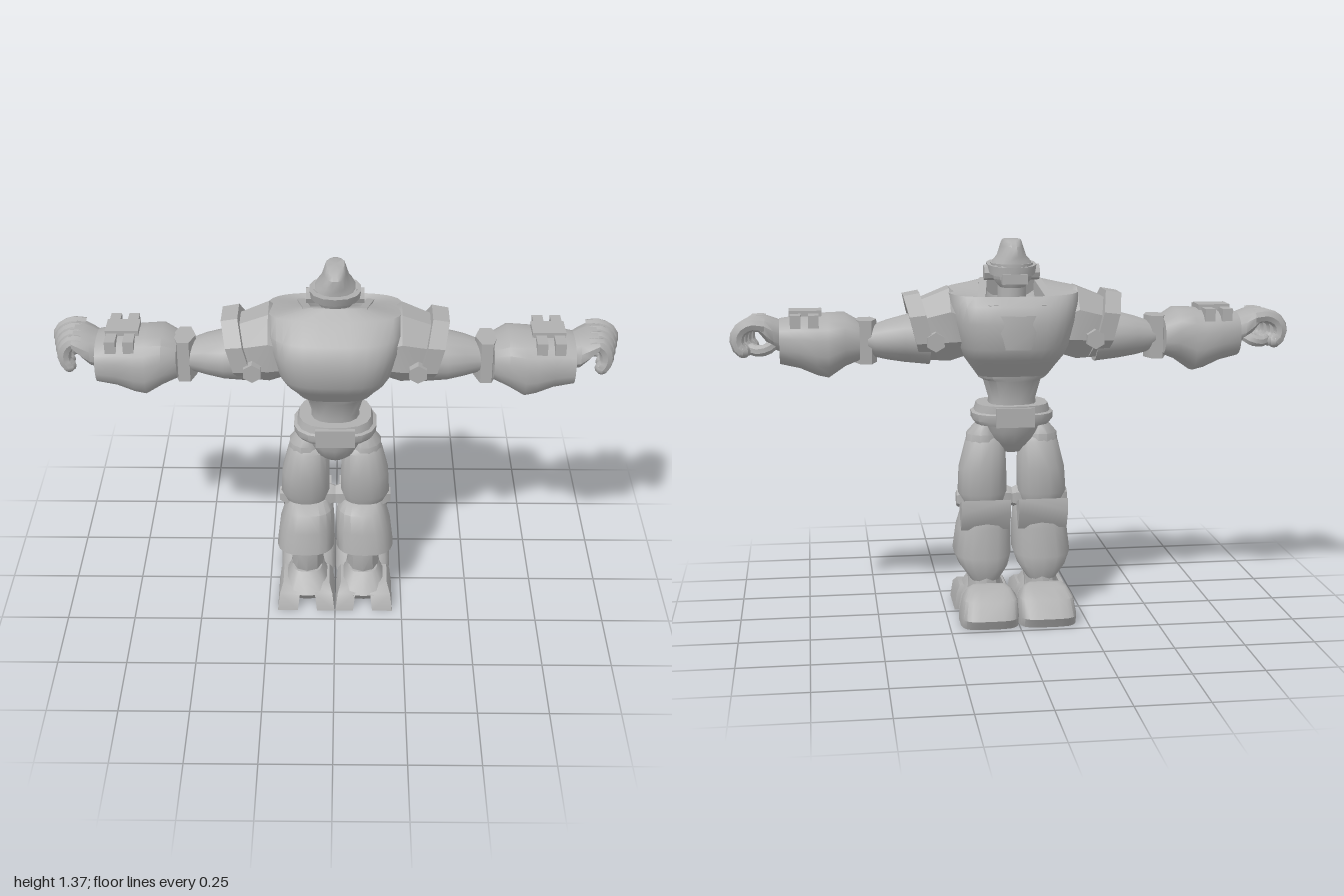
import * as THREE from 'three';
import { toCreasedNormals, mergeGeometries } from 'three/addons/utils/BufferGeometryUtils.js';

const grey = new THREE.MeshStandardMaterial({ color: 0xb0b0b0 });
grey.name = 'plainGrey';

// Skin over rounded-polygon rings stacked along y or x.
// y axis: [y, x0, x1, z0, z1, tilt]   x axis: [x, z0, z1, y0, y1, tilt]
function loft(axis, n, e, rings) {
  const pos = [];
  const grow = e === 1 ? 1 / Math.cos(Math.PI / n) : 1;
  const put = (t, u, v) => (axis === 'y' ? [u, t, v] : [t, v, u]);
  const pts = rings.map(([t, u0, u1, v0, v1, tilt = 0]) => {
    const ring = [];
    for (let i = 0; i < n; i++) {
      const a = ((i + 0.5) / n) * Math.PI * 2;
      const c = Math.cos(a) * grow, s = Math.sin(a) * grow;
      const u = (u0 + u1) / 2 + ((u1 - u0) / 2) * Math.sign(c) * Math.abs(c) ** e;
      const v = (v0 + v1) / 2 + ((v1 - v0) / 2) * Math.sign(s) * Math.abs(s) ** e;
      ring.push(put(t + tilt * (v - (axis === 'y' ? 0 : 1.05)), u, v));
    }
    return ring;
  });
  const mid = (ring) => [0, 1, 2].map((k) => ring.reduce((sum, p) => sum + p[k], 0) / n);
  const first = pts[0], last = pts[pts.length - 1];
  for (let i = 0; i < n; i++) {
    const j = (i + 1) % n;
    for (let r = 0; r < pts.length - 1; r++) {
      const a = pts[r], b = pts[r + 1];
      pos.push(...a[i], ...b[i], ...a[j], ...a[j], ...b[i], ...b[j]);
    }
    pos.push(...mid(first), ...first[i], ...first[j]);
    pos.push(...mid(last), ...last[j], ...last[i]);
  }
  const g = new THREE.BufferGeometry();
  g.setAttribute('position', new THREE.Float32BufferAttribute(pos, 3));
  return g;
}

// Ring symmetric about x = 0
const sym = (y, hx, z0, z1, tilt) => [y, -hx, hx, z0, z1, tilt];

function bare(geo) {
  const g = geo.index ? geo.toNonIndexed() : geo.clone();
  for (const k of ['uv', 'normal']) g.deleteAttribute(k);
  return g;
}

// Mirror in x and restore the corner order
function mirrored(geo) {
  const g = bare(geo).scale(-1, 1, 1), p = g.attributes.position;
  for (let i = 0; i < p.count; i += 3) {
    const b = [p.getX(i + 1), p.getY(i + 1), p.getZ(i + 1)];
    p.setXYZ(i + 1, p.getX(i + 2), p.getY(i + 2), p.getZ(i + 2));
    p.setXYZ(i + 2, ...b);
  }
  return g;
}

const box = (w, h, d, x, y, z) => new THREE.BoxGeometry(w, h, d).translate(x, y, z);

export function createModel() {
  const model = new THREE.Group();
  const add = (name, geo) => {
    const mesh = new THREE.Mesh(toCreasedNormals(bare(geo), 0.72), grey);
    mesh.name = name;
    model.add(mesh);
  };
  const pair = (name, geo) => {
    add(name + 'Left', geo);
    add(name + 'Right', mirrored(geo));
  };

  // Torso with a sunken neck well
  add('torso', loft('y', 32, 0.62, [
    sym(0.89, 0.13, -0.07, 0.14), sym(0.925, 0.155, -0.1, 0.17), sym(0.96, 0.18, -0.14, 0.208),
    sym(1.0, 0.2, -0.163, 0.235), sym(1.09, 0.225, -0.168, 0.24),
    sym(1.15, 0.235, -0.155, 0.215), sym(1.195, 0.235, -0.12, 0.14, 0.1),
    sym(1.2, 0.12, -0.1, 0.1, 0.38), sym(1.12, 0.1, -0.11, 0.08, 0.38),
  ]));
  const outline = [[-0.14, -0.12], [-0.1, -0.155], [0.1, -0.155], [0.14, -0.12], [0.11, 0.09], [-0.11, 0.09]];
  const hex = (k) => outline.map(([x, z]) => new THREE.Vector2(x * k, (z + 0.035) * k - 0.035));
  const collar = new THREE.Shape(hex(1));
  collar.holes.push(new THREE.Path(hex(0.78)));
  add('collar', new THREE.ExtrudeGeometry(collar, { depth: 0.06, bevelEnabled: false })
    .rotateX(Math.PI / 2 - 0.32).translate(0, 1.205, 0));
  add('chestPlate', loft('y', 8, 0.8, [
    sym(1.0, 0.08, -0.168, -0.1), sym(1.06, 0.1, -0.173, -0.1), sym(1.12, 0.1, -0.168, -0.1),
  ]));
  add('waist', loft('y', 16, 0.8, [
    sym(0.76, 0.09, -0.05, 0.11), sym(0.8, 0.085, -0.05, 0.11), sym(0.87, 0.105, -0.065, 0.13),
    sym(0.88, 0.125, -0.07, 0.135), sym(0.915, 0.14, -0.075, 0.145),
  ]));

  // Head
  add('neck', loft('y', 12, 1, [sym(1.1, 0.05, -0.02, 0.08), sym(1.23, 0.05, -0.02, 0.08)]));
  add('face', loft('y', 12, 1, [
    sym(1.205, 0.045, -0.045, 0.08), sym(1.235, 0.068, -0.06, 0.1), sym(1.29, 0.075, -0.06, 0.12),
  ]));
  add('helmet', loft('y', 16, 0.9, [
    sym(1.27, 0.08, -0.06, 0.12), sym(1.3, 0.066, -0.055, 0.12), sym(1.315, 0.052, -0.055, 0.123),
    sym(1.35, 0.04, -0.05, 0.123), sym(1.365, 0.036, -0.035, 0.105), sym(1.373, 0.032, -0.015, 0.08),
  ]));
  add('browBand', loft('y', 14, 0.9, [
    sym(1.25, 0.085, -0.062, 0.135, 0.1), sym(1.283, 0.09, -0.065, 0.147, 0.08),
  ]));
  add('visor', box(0.09, 0.035, 0.03, 0, 1.238, -0.056));
  add('earDiscs', new THREE.CylinderGeometry(0.028, 0.028, 0.2, 8).rotateZ(Math.PI / 2).translate(0, 1.255, 0.035));

  // Shoulders and upper arms
  pair('shoulder', loft('x', 8, 1, [
    [0.18, -0.08, 0.15, 0.96, 1.17], [0.23, -0.09, 0.16, 0.945, 1.205], [0.33, -0.07, 0.14, 0.95, 1.165],
  ]));
  pair('shoulderFin', loft('x', 8, 1, [
    [0.3, -0.1, 0.165, 0.95, 1.19, 0.25], [0.36, -0.095, 0.16, 0.95, 1.18, 0.25],
    [0.36, -0.075, 0.14, 0.965, 1.155, 0.25], [0.33, -0.07, 0.135, 0.97, 1.15, 0.25],
  ]));
  pair('shoulderBolt', new THREE.CylinderGeometry(0.035, 0.035, 0.29, 6).rotateX(Math.PI / 2).translate(0.285, 1.025, 0.035));
  pair('upperArm', loft('x', 16, 1, [
    [0.3, -0.07, 0.13, 0.93, 1.12], [0.39, -0.068, 0.13, 0.94, 1.105],
    [0.45, -0.055, 0.11, 0.95, 1.09], [0.495, -0.037, 0.092, 0.96, 1.075], [0.52, -0.03, 0.085, 0.97, 1.065],
  ]));
  pair('elbow', new THREE.CylinderGeometry(0.04, 0.04, 0.155, 6).rotateY(Math.PI / 6).scale(1, 1, 1.7).translate(0.527, 1.017, 0.03));

  // Forearms with wrist gadgets
  pair('forearm', loft('x', 18, 0.8, [
    [0.55, -0.07, 0.13, 0.95, 1.09], [0.6, -0.09, 0.157, 0.93, 1.12], [0.66, -0.09, 0.158, 0.888, 1.12],
    [0.7, -0.09, 0.157, 0.898, 1.115], [0.76, -0.085, 0.152, 0.925, 1.11], [0.83, -0.065, 0.145, 0.94, 1.1],
  ]));
  for (const x of [0.71, 0.773]) pair('wristBar', box(0.037, 0.045, 0.21, x, 1.1, 0.03));
  pair('wristPlate', box(0.115, 0.02, 0.085, 0.738, 1.122, 0.03));

  // Hands: fingers curl down around an open grip, shorter towards the front
  pair('palm', loft('x', 12, 0.8, [
    [0.81, -0.04, 0.1, 0.98, 1.09], [0.85, -0.065, 0.115, 0.995, 1.105], [0.88, -0.075, 0.12, 1.03, 1.115],
    [0.91, -0.07, 0.115, 1.07, 1.115],
  ]));
  const finger = (points, r) => {
    const path = points.map(([x, y, z]) => new THREE.Vector3(x, y, z));
    const tube = new THREE.TubeGeometry(new THREE.CatmullRomCurve3(path), 8, r, 8, false);
    const end = path[path.length - 1];
    const tip = new THREE.SphereGeometry(r, 8, 6).translate(end.x, end.y, end.z);
    return mergeGeometries([bare(tube), bare(tip)]);
  };
  [-0.055, -0.01, 0.035, 0.08].forEach((z, i) => {
    const k = 1 - 0.12 * i;
    const curl = [[0, 1.088], [0.05, 1.092], [0.09, 1.065], [0.095, 1.022], [0.075, 1.0]];
    pair('finger', finger(curl.map(([x, y]) => [0.88 + x * k, y, z]), 0.025));
  });
  pair('thumb', finger([[0.85, 1.02, -0.02], [0.875, 1.003, -0.05], [0.905, 0.998, -0.045], [0.925, 1.003, -0.03]], 0.021));

  // Hips
  add('pelvis', loft('y', 14, 0.9, [
    sym(0.6, 0.035, 0, 0.075), sym(0.635, 0.07, -0.04, 0.12), sym(0.68, 0.095, -0.07, 0.142), sym(0.72, 0.11, -0.08, 0.15),
  ]));
  add('belt', loft('y', 16, 0.75, [
    sym(0.71, 0.135, -0.08, 0.145), sym(0.725, 0.148, -0.086, 0.155), sym(0.75, 0.15, -0.086, 0.155),
    sym(0.755, 0.138, -0.08, 0.148), sym(0.783, 0.13, -0.08, 0.143),
  ]));
  for (const z of [-0.08, 0.148]) add('buckle', box(0.14, 0.07, 0.016, 0, 0.743, z));

  // Legs
  pair('hip', loft('y', 12, 1, [
    [0.6, 0.04, 0.17, -0.03, 0.1], [0.67, 0.05, 0.165, -0.03, 0.1], [0.705, 0.07, 0.135, -0.01, 0.08],
  ]));
  pair('thigh', loft('y', 16, 0.85, [
    [0.42, 0.03, 0.185, -0.04, 0.1], [0.45, 0.02, 0.2, -0.05, 0.11], [0.54, 0.02, 0.195, -0.047, 0.122],
    [0.64, 0.025, 0.17, -0.035, 0.108], [0.66, 0.04, 0.155, -0.02, 0.09],
  ]));
  pair('kneeJoint', loft('x', 6, 1, [
    [0, 0.005, 0.065, 0.395, 0.455], [0.02, 0, 0.07, 0.387, 0.463], [0.18, 0, 0.07, 0.387, 0.463], [0.205, 0.012, 0.058, 0.4, 0.45],
  ]));
  const guard = new THREE.Shape([[-0.03, 0.4], [0.04, 0.32], [0.075, 0.39], [0.066, 0.437]].map(([a, b]) => new THREE.Vector2(a, b)));
  pair('kneeGuard', new THREE.ExtrudeGeometry(guard, { depth: 0.18, bevelEnabled: false }).rotateY(Math.PI / 2).translate(0.015, 0, 0));
  pair('shin', loft('y', 18, 0.75, [
    [0.135, 0.05, 0.16, -0.05, 0.05, 0.2], [0.185, 0.015, 0.2, -0.068, 0.125, 0.2], [0.22, 0.003, 0.217, -0.066, 0.17, 0.1],
    [0.32, 0.003, 0.205, -0.055, 0.155], [0.39, 0.008, 0.185, -0.045, 0.135], [0.42, 0.025, 0.17, -0.03, 0.095],
  ]));
  pair('ankle', loft('y', 10, 0.85, [
    [0, 0.03, 0.185, -0.06, 0.06], [0.12, 0.045, 0.165, -0.06, 0.12], [0.2, 0.045, 0.16, -0.04, 0.12],
  ]));

  // Feet: notched heel in front, broad rounded toe behind
  pair('heel', loft('y', 14, 0.65, [
    [0, 0.01, 0.205, -0.02, 0.13], [0.06, 0.012, 0.2, -0.02, 0.187], [0.125, 0.05, 0.16, 0, 0.125],
  ]));
  for (const [a, b, lean] of [[0.002, 0.068, 0.008], [0.14, 0.215, -0.008]]) {
    pair('heelClaw', loft('y', 4, 1, [
      [0, a, b, 0.02, 0.2], [0.065, a + lean, b + lean, 0.02, 0.18], [0.09, a + 2.5 * lean, b + 2.5 * lean, 0.03, 0.14],
    ]));
  }
  pair('toe', loft('y', 20, 0.5, [
    [0, 0, 0.21, -0.225, -0.015], [0.035, 0, 0.21, -0.243, -0.035],
    [0.095, 0.004, 0.2, -0.205, -0.07], [0.125, 0.025, 0.18, -0.15, -0.09], [0.135, 0.045, 0.16, -0.12, -0.1],
  ]));
  return model;
}
